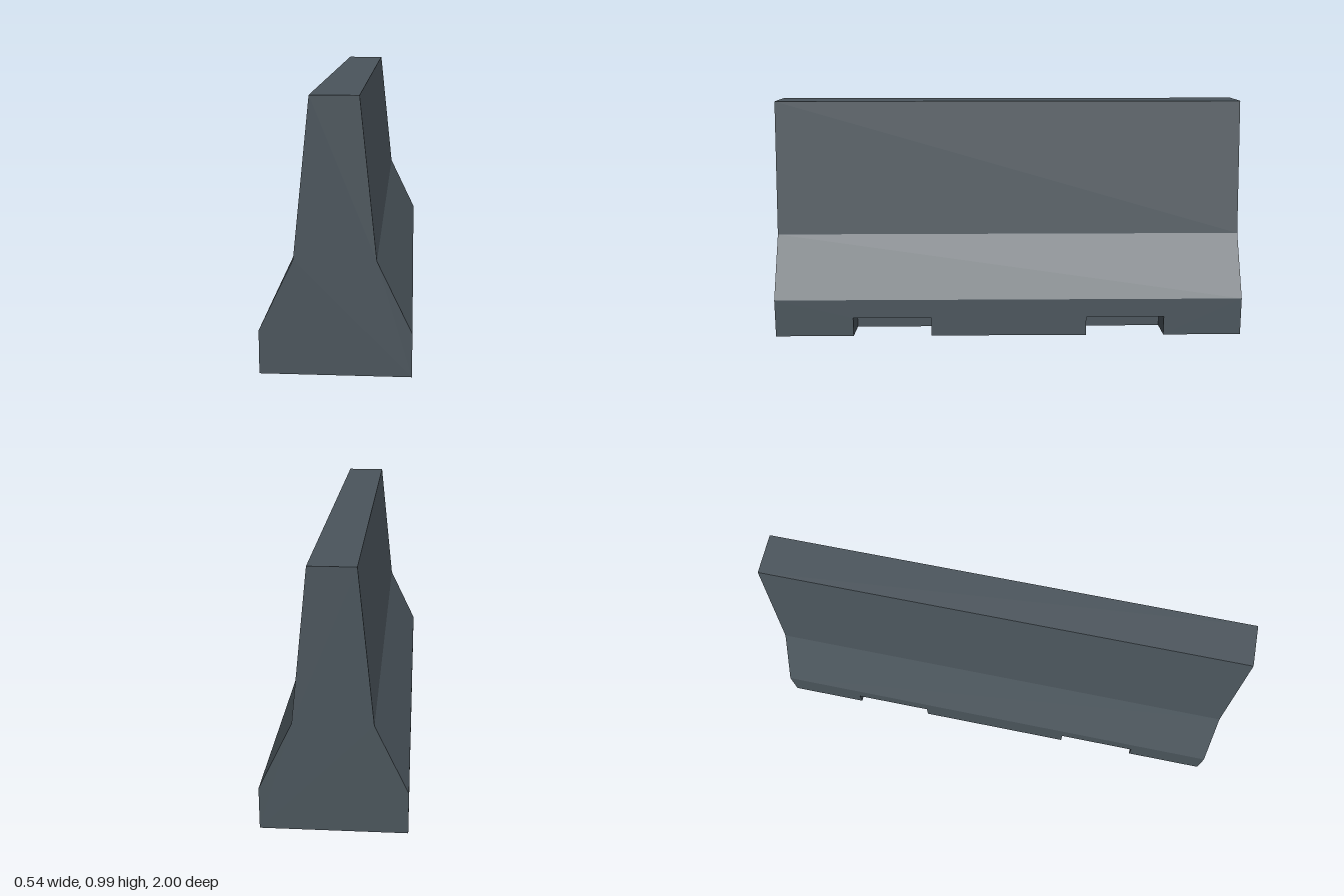
import * as THREE from 'three';
import { mergeVertices } from 'three/addons/utils/BufferGeometryUtils.js';

const HALF_LENGTH = 1, BASE = 0.27, SHOULDER = 0.16;
const NOTCH = { inner: 0.333, outer: 0.667, height: 0.08, backX: 0.146 };

export function createModel() {
  const positions = [];

  // Flat polygon: 2D outline placed in space, wound to face the outward direction
  function face(outline, place, outward) {
    const points = outline.map(([u, v]) => new THREE.Vector2(u, v));
    const out = new THREE.Vector3(...outward);
    for (const tri of THREE.ShapeUtils.triangulateShape(points, [])) {
      const [a, b, c] = tri.map(i => new THREE.Vector3(...place(outline[i][0], outline[i][1])));
      const normal = b.clone().sub(a).cross(c.clone().sub(a));
      const ordered = normal.dot(out) < 0 ? [a, c, b] : [a, b, c];
      for (const p of ordered) positions.push(p.x, p.y, p.z);
    }
  }
  const rect = (u0, u1, v0, v1) => [[u0, v0], [u1, v0], [u1, v1], [u0, v1]];

  // Sloped half profile, from the base shoulder to the crown
  const half = [[BASE, SHOULDER], [0.145, 0.42], [0.085, 0.99]];
  const right = [[BASE, 0], ...half];
  const profile = [...right, ...right.slice().reverse().map(([x, y]) => [-x, y])];

  // End faces
  for (const s of [-1, 1]) face(profile, (x, y) => [x, y, s * HALF_LENGTH], [0, 0, s]);

  // Crown
  face(rect(-0.085, 0.085, -HALF_LENGTH, HALF_LENGTH), (x, z) => [x, 0.99, z], [0, 1, 0]);

  // Outline running along z with the two notches cut in to the given level
  const notched = (edge, cut) => [
    [-HALF_LENGTH, edge],
    [-NOTCH.outer, edge], [-NOTCH.outer, cut], [-NOTCH.inner, cut], [-NOTCH.inner, edge],
    [NOTCH.inner, edge], [NOTCH.inner, cut], [NOTCH.outer, cut], [NOTCH.outer, edge],
    [HALF_LENGTH, edge],
  ];

  // Underside
  const edgeLine = notched(BASE, NOTCH.backX);
  face([...edgeLine, ...edgeLine.slice().reverse().map(([z, x]) => [z, -x])],
    (z, x) => [x, 0, z], [0, -1, 0]);

  for (const s of [-1, 1]) {
    // Slopes
    for (let i = 0; i < half.length - 1; i++) {
      const [x0, y0] = half[i], [x1, y1] = half[i + 1];
      face(rect(-HALF_LENGTH, HALF_LENGTH, 0, 1),
        (z, t) => [s * (x0 + (x1 - x0) * t), y0 + (y1 - y0) * t, z], [s, 0.1, 0]);
    }
    // Vertical base wall
    face([...notched(0, NOTCH.height), [HALF_LENGTH, SHOULDER], [-HALF_LENGTH, SHOULDER]],
      (z, y) => [s * BASE, y, z], [s, 0, 0]);

    // Lifting pockets: ceiling, back and two ends
    for (const e of [-1, 1]) {
      const { inner, outer, height, backX } = NOTCH;
      face(rect(backX, BASE, inner, outer), (x, z) => [s * x, height, e * z], [0, -1, 0]);
      face(rect(inner, outer, 0, height), (z, y) => [s * backX, y, e * z], [s, 0, 0]);
      face(rect(backX, BASE, 0, height), (x, y) => [s * x, y, e * inner], [0, 0, e]);
      face(rect(backX, BASE, 0, height), (x, y) => [s * x, y, e * outer], [0, 0, -e]);
    }
  }

  let geometry = new THREE.BufferGeometry();
  geometry.setAttribute('position', new THREE.Float32BufferAttribute(positions, 3));
  geometry = mergeVertices(geometry).toNonIndexed();
  geometry.computeVertexNormals();

  const concrete = new THREE.MeshStandardMaterial({ color: 0x4b555c });
  concrete.name = 'dark concrete';

  const barrier = new THREE.Mesh(geometry, concrete);
  barrier.name = 'barrierBody';
  const group = new THREE.Group();
  group.name = 'roadBarrier';
  group.add(barrier);
  return group;
}
